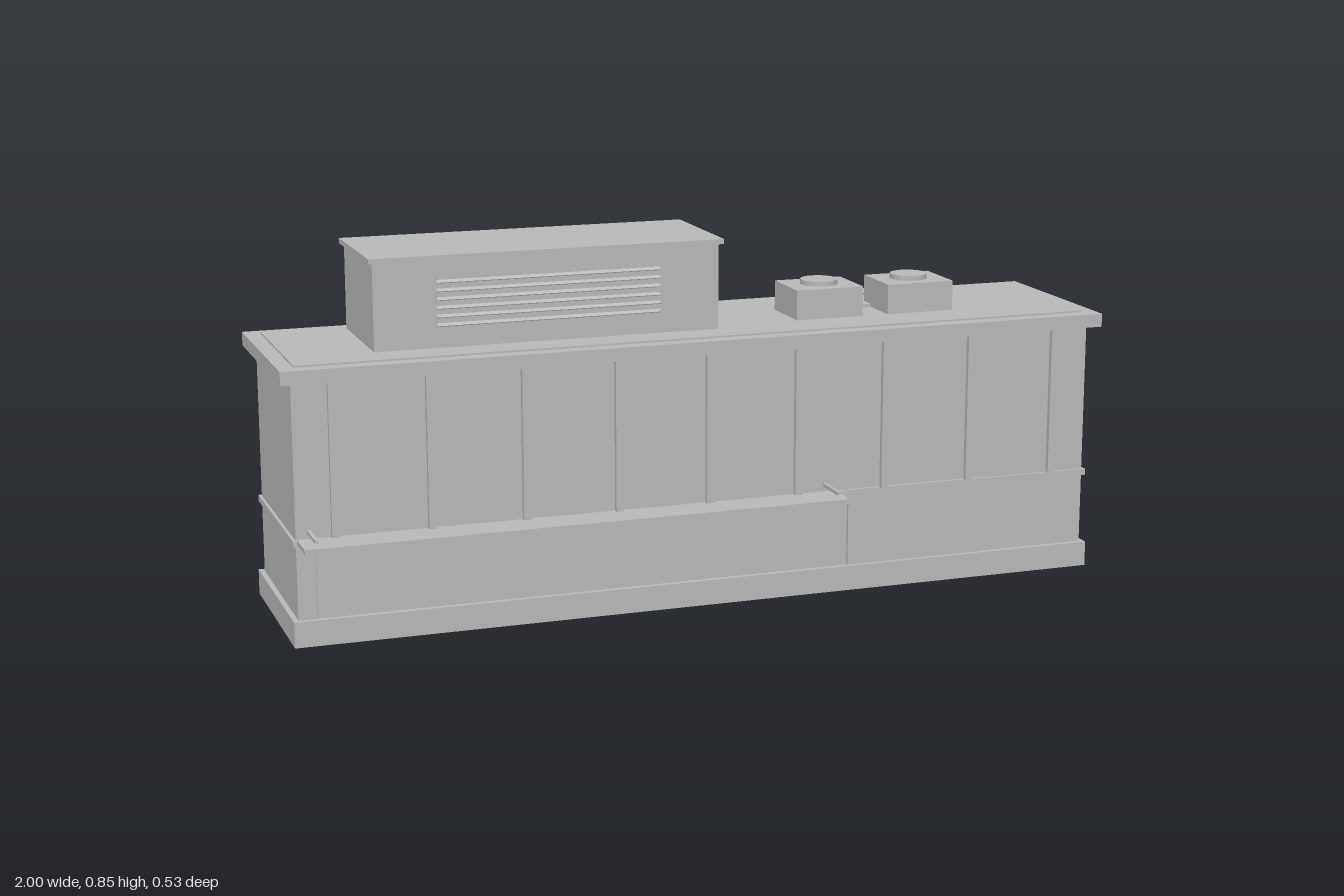
import * as THREE from 'three';

const paint = new THREE.MeshStandardMaterial({ color: 0xb8b8b8, side: THREE.DoubleSide });
paint.name = 'plain grey';

// BoxGeometry face order: +x, -x, top, bottom, front, back
const ALL = [0, 1, 2, 3, 4, 5];
const OPEN_BACK = [0, 1, 2, 3, 4];
const WALLS = [0, 1, 4];
const HOOD = [0, 1, 2, 4];

export function createModel() {
  const model = new THREE.Group();
  model.name = 'building';

  function add(name, geometry, x, y, z, parent = model) {
    const mesh = new THREE.Mesh(geometry, paint);
    mesh.name = name;
    mesh.position.set(x, y, z);
    parent.add(mesh);
    return mesh;
  }

  // Box given by its limits, keeping only the listed faces
  function block(name, [x0, x1], [y0, y1], [z0, z1], faces = ALL, parent = model) {
    const geometry = new THREE.BoxGeometry(x1 - x0, y1 - y0, z1 - z0);
    const index = geometry.index.array;
    geometry.setIndex(faces.flatMap(f => Array.from(index.slice(f * 6, f * 6 + 6))));
    geometry.clearGroups();
    return add(name, geometry, (x0 + x1) / 2, (y0 + y1) / 2, (z0 + z1) / 2, parent);
  }

  // Facade shell, open at the back
  block('base', [-0.985, 0.985], [0, 0.06], [-0.25, 0.19], HOOD);
  block('walls', [-0.973, 0.973], [0.06, 0.603], [-0.235, 0.178], WALLS);
  block('beltCourse', [-0.98, 0.98], [0.23, 0.245], [-0.242, 0.185], OPEN_BACK);
  block('roofSlab', [-1, 1], [0.603, 0.635], [-0.263, 0.205], OPEN_BACK);
  block('roofMembrane', [-0.963, 0.963], [0.635, 0.639], [-0.23, 0.17], HOOD);

  // Pilasters between the upper wall panels
  for (let i = -4; i <= 4; i++) {
    const x = i * 0.221;
    block('pilaster', [x - 0.009, x + 0.009], [0.245, 0.603], [0.178, 0.19]);
  }

  // Lower panels
  block('lowerPanel', [-0.93, 0.275], [0.062, 0.23], [0.178, 0.183]);
  block('doorPanel', [0.35, 0.7], [0.062, 0.247], [0.178, 0.186]);

  // Counter shelf with a thin bar at each end
  block('shelf', [-0.97, 0.32], [0.236, 0.247], [0.178, 0.265]);
  for (const x of [-0.943, 0.292]) {
    block('shelfBar', [x - 0.004, x + 0.004], [0.259, 0.267], [0.176, 0.265]);
  }

  // Rooftop plant room
  const plantRoom = new THREE.Group();
  plantRoom.name = 'plantRoom';
  model.add(plantRoom);
  block('plantRoomWalls', [-0.765, 0.055], [0.635, 0.84], [-0.205, 0.088], WALLS, plantRoom);
  block('plantRoomCap', [-0.775, 0.065], [0.84, 0.852], [-0.213, 0.097], OPEN_BACK, plantRoom);
  block('louverPanel', [-0.62, -0.09], [0.68, 0.803], [0.088, 0.09], ALL, plantRoom);
  for (let i = 0; i < 6; i++) {
    const slat = add('louverSlat', new THREE.BoxGeometry(0.53, 0.002, 0.011),
      -0.355, 0.693 + i * 0.0198, 0.093, plantRoom);
    slat.rotation.x = 0.6;
  }

  // Roof fans
  for (const x of [0.35, 0.585]) {
    block('fanHousing', [x - 0.085, x + 0.085], [0.638, 0.711], [-0.087, 0.058]);
    add('fanCollar', new THREE.CylinderGeometry(0.045, 0.045, 0.012, 24), x, 0.717, -0.015);
  }

  // Service hatch and pipe
  block('roofHatch', [0.47, 0.7], [0.637, 0.646], [-0.25, -0.045]);
  const pipe = add('roofPipe', new THREE.CylinderGeometry(0.006, 0.006, 0.175, 12), 0.467, 0.652, -0.162);
  pipe.rotation.z = Math.PI / 2;

  return model;
}
